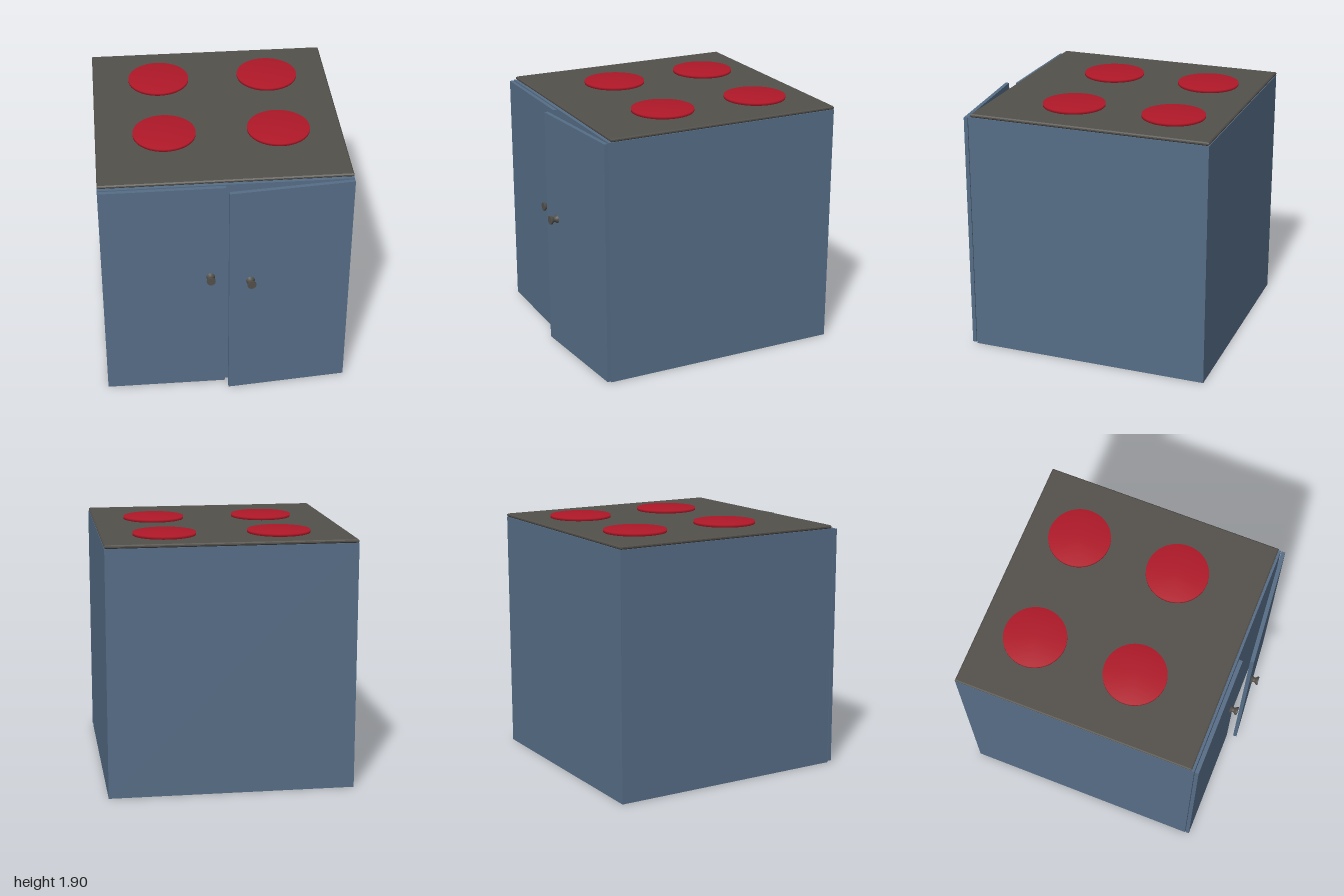
import * as THREE from 'three';
import { mergeVertices } from 'three/addons/utils/BufferGeometryUtils.js';

const blue = new THREE.MeshStandardMaterial({ color: 0x566d86 });
const dark = new THREE.MeshStandardMaterial({ color: 0x53504b });
const red = new THREE.MeshStandardMaterial({ color: 0xb01828 });

function add(parent, name, geometry, material, x, y, z) {
  const mesh = new THREE.Mesh(geometry, material);
  mesh.name = name;
  mesh.position.set(x, y, z);
  parent.add(mesh);
  return mesh;
}

// Low disc whose normals are blended over the rim, so it shades like a dome
function softDisc(radius, height) {
  let g = new THREE.CylinderGeometry(radius, radius, height, 48);
  g.deleteAttribute('normal');
  g.deleteAttribute('uv');
  g = mergeVertices(g);
  g.computeVertexNormals();
  return g;
}

// Worktop slab with a small chamfer round its edge
function chamferedSlab(w, d, h, c) {
  const s = new THREE.Shape();
  const x = w / 2 - c, y = d / 2 - c;
  s.moveTo(-x, -y).lineTo(x, -y).lineTo(x, y).lineTo(-x, y).closePath();
  const g = new THREE.ExtrudeGeometry(s, {
    depth: h - 2 * c, bevelEnabled: true, bevelSize: c, bevelThickness: c, bevelSegments: 1,
  });
  return g.rotateX(-Math.PI / 2).translate(0, c, 0);
}

// Spool-shaped knob pointing along +z
function knobGeometry() {
  const profile = [[0.033, 0], [0.024, 0.013], [0.018, 0.025], [0.022, 0.036], [0.033, 0.048], [0.033, 0.06]];
  const points = profile.map(([r, y]) => new THREE.Vector2(r, y));
  return new THREE.LatheGeometry(points, 24).rotateX(Math.PI / 2);
}

// Door hung at its hinge; side is +1 for the model's left, -1 for its right
function makeDoor(name, side, angle, knobOffset) {
  const w = 0.91, h = 1.835, t = 0.029;
  const door = new THREE.Group();
  door.name = name;
  add(door, 'doorPanel', new THREE.BoxGeometry(w, h, t), blue, -side * w / 2, 0.01 + h / 2, t / 2);
  const knob = new THREE.Group();
  knob.name = 'knob';
  knob.position.set(-side * knobOffset, 1.05, t);
  add(knob, 'knobBody', knobGeometry(), dark, 0, 0, 0);
  add(knob, 'knobFace', new THREE.CircleGeometry(0.033, 24), dark, 0, 0, 0.06);
  door.add(knob);
  door.position.set(side * 0.917, 0, 0.847);
  door.rotation.y = side * angle;
  return door;
}

export function createModel() {
  const model = new THREE.Group();
  model.name = 'stove';

  // Cabinet and worktop
  add(model, 'cabinet', new THREE.BoxGeometry(1.834, 1.85, 1.842), blue, 0, 0.925, -0.079);
  add(model, 'worktop', chamferedSlab(1.834, 1.824, 0.026, 0.008), dark, 0, 1.85, -0.088);

  // Four hot plates
  const plate = softDisc(0.234, 0.024);
  for (const x of [-0.404, 0.448]) {
    for (const z of [-0.587, 0.193]) add(model, 'hotPlate', plate, red, x, 1.884, z);
  }

  // Doors, the left one slightly ajar
  model.add(makeDoor('rightDoor', -1, 0, 0.799));
  model.add(makeDoor('leftDoor', 1, THREE.MathUtils.degToRad(5), 0.752));
  return model;
}
